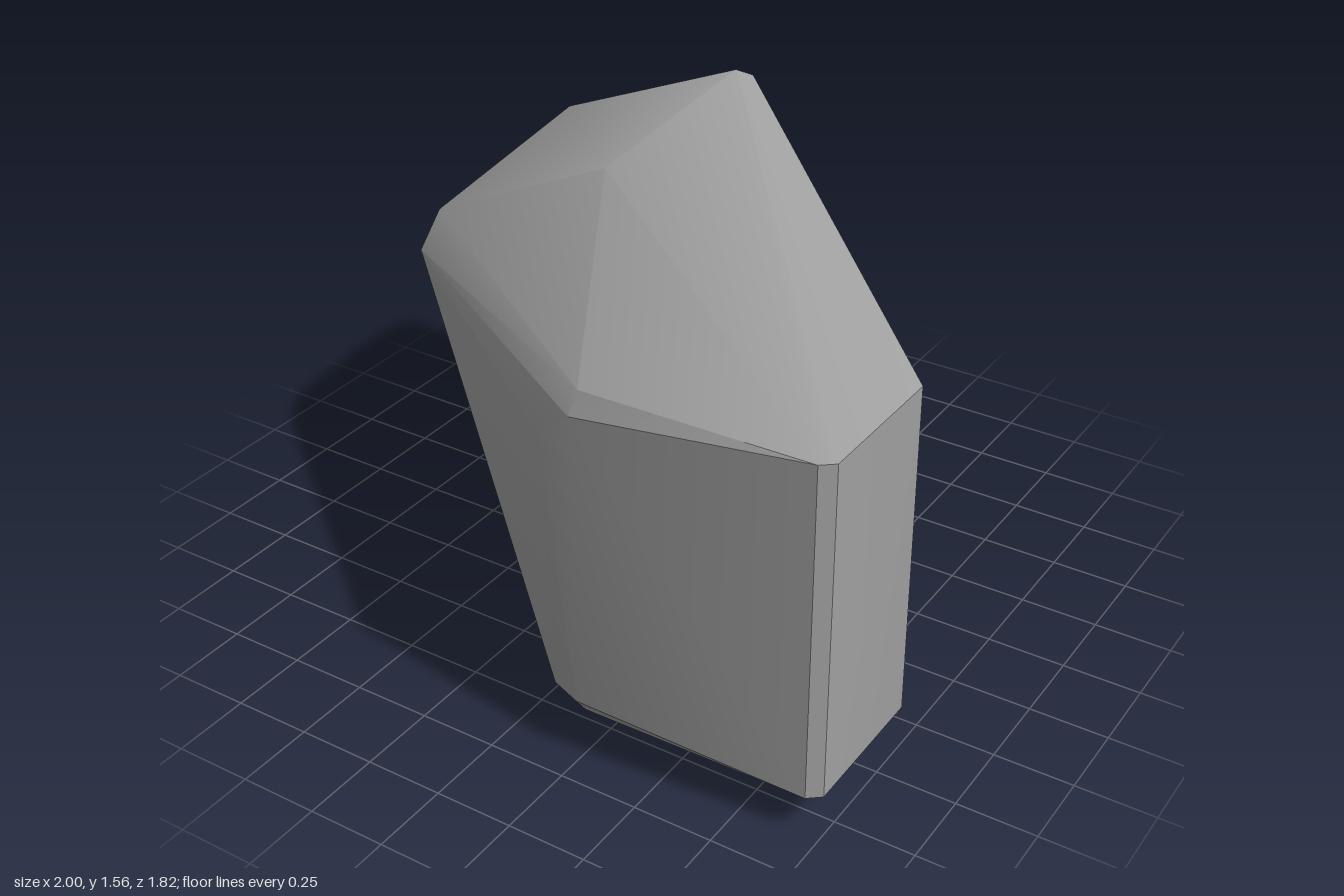
import * as THREE from 'three';
import { ConvexGeometry } from 'three/addons/geometries/ConvexGeometry.js';
import { toCreasedNormals } from 'three/addons/utils/BufferGeometryUtils.js';

export function createModel() {
  const model = new THREE.Group();
  model.name = 'rock';
  const stone = new THREE.MeshStandardMaterial({ color: 0xa0a0a0 });
  stone.name = 'grey stone';

  // Corners of the cut boulder, grouped by the side they belong to
  const corners = [
    // sloping back facet
    [-0.1, 1.53, -0.6], [0.38, 0.54, -0.73], [-0.39, 0.18, -0.91], [-0.87, 1.18, -0.78],
    // bevels above and below the back facet
    [-0.13, 1.56, -0.545], [-0.9, 1.21, -0.72], [0.36, 0.49, -0.69], [-0.41, 0.13, -0.87],
    // blunt tip on the -x side
    [-1, 1.08, -0.46], [-1, 0.82, -0.47], [-0.99, 1.04, -0.1], [-0.97, 0.95, 0.03],
    // crown and underside
    [-0.2, 1.44, 0.08], [-0.47, 0, -0.24], [-0.52, 0.05, -0.09],
    // front column with its bevelled ends
    [0.1, 1.02, 0.855], [0.24, 1.14, 0.905], [0.24, 1.2, 0.86],
    [0.13, 0.19, 0.855], [0.24, 0.2, 0.905], [0.24, 0.14, 0.86],
  ];
  // upright +x side, repeated at its top and bottom
  for (const y of [0.14, 1.205]) {
    corners.push([1, y, 0.36], [1, y, 0.82], [0.96, y, 0.853]);
  }

  const hull = new ConvexGeometry(corners.map((c) => new THREE.Vector3(...c)));
  const boulder = new THREE.Mesh(toCreasedNormals(hull, 0.6), stone);
  boulder.name = 'boulder';
  model.add(boulder);
  return model;
}
